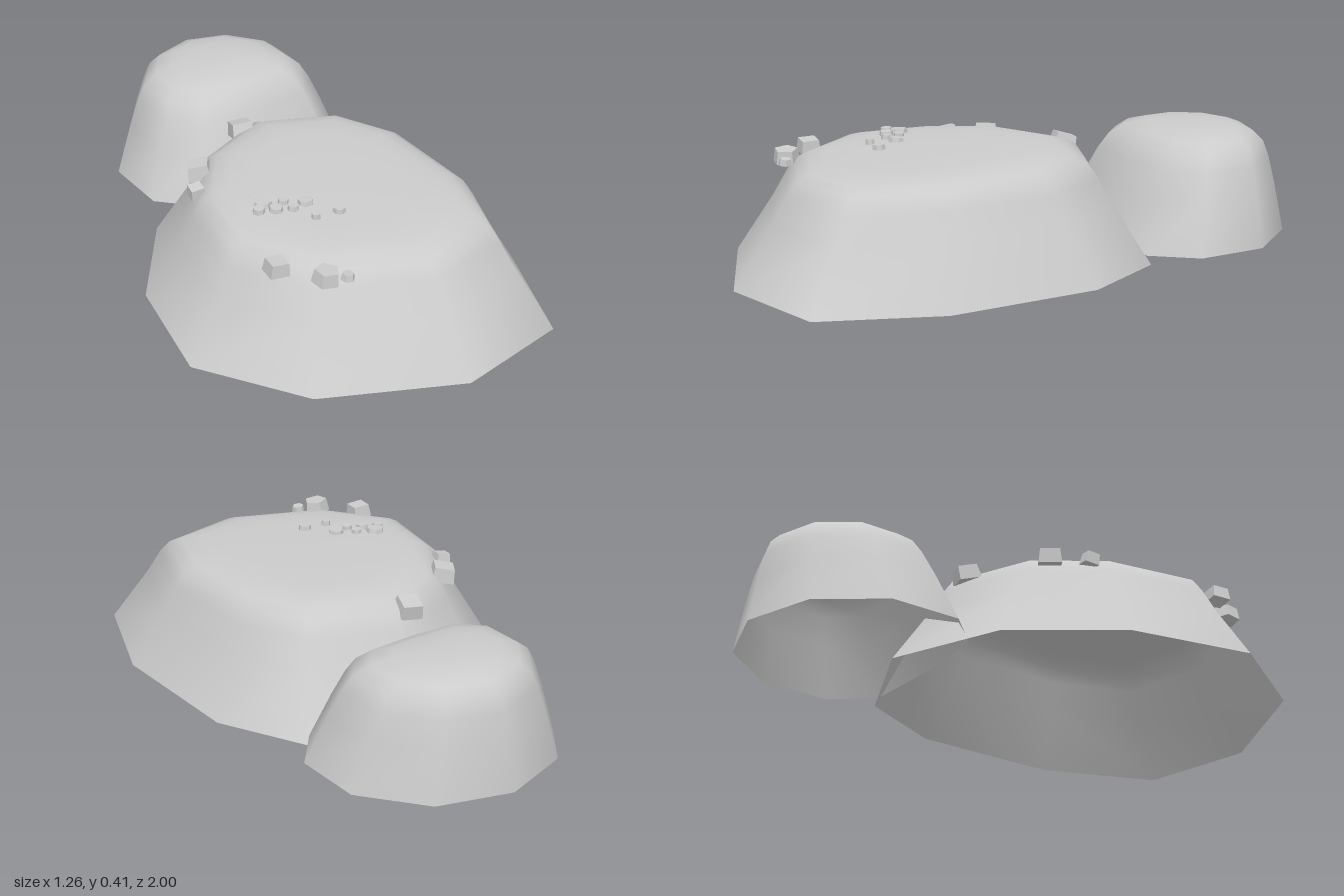
import * as THREE from 'three';

const material = new THREE.MeshStandardMaterial({ color: 0xcccccc, side: THREE.DoubleSide });

// Open-bottomed mound: an outline shrunk ring by ring towards a moving centre.
// Each ring is [y, scale]; outline runs counter-clockwise seen from above.
function mound(name, outline, from, to, rings, tilt) {
  const positions = [], index = [], n = outline.length;
  const y0 = rings[0][0], top = rings[rings.length - 1][0];
  for (const [y, s] of rings) {
    const t = (y - y0) / (top - y0);
    const cx = from[0] + (to[0] - from[0]) * t;
    const cz = from[1] + (to[1] - from[1]) * t;
    for (const [x, z] of outline) {
      const dz = (z - from[1]) * s;
      positions.push(cx + (x - from[0]) * s, y - tilt * dz * t ** 6, cz + dz);
    }
  }
  for (let r = 0; r < rings.length - 1; r++) {
    for (let i = 0; i < n; i++) {
      const j = (i + 1) % n;
      const a = r * n + i, b = r * n + j, c = a + n, d = b + n;
      index.push(a, b, d, a, d, c);
    }
  }
  // crown
  const apex = positions.length / 3;
  positions.push(to[0], top + 0.002, to[1]);
  for (let i = 0; i < n; i++) index.push(apex - n + i, apex - n + (i + 1) % n, apex);
  const geometry = new THREE.BufferGeometry();
  geometry.setAttribute('position', new THREE.Float32BufferAttribute(positions, 3));
  geometry.setIndex(index);
  geometry.computeVertexNormals();
  const mesh = new THREE.Mesh(geometry, material);
  mesh.name = name;
  return mesh;
}

// Small chipped stone: a tapered, few-sided block
function stone(name, [x, y, z, width, height, sides, turn, tiltX, tiltZ]) {
  const geometry = new THREE.CylinderGeometry(width * 0.48, width * 0.56, height, sides).toNonIndexed();
  geometry.computeVertexNormals();
  const mesh = new THREE.Mesh(geometry, material);
  mesh.name = name;
  mesh.position.set(x, y, z);
  mesh.rotation.set(tiltX, turn, tiltZ);
  return mesh;
}

export function createModel() {
  const model = new THREE.Group();
  model.name = 'rockMounds';

  // Large front mound
  const largeOutline = [
    [-0.63, 0.43], [-0.40, 0.79], [0.06, 1.0], [0.47, 0.92], [0.63, 0.52],
    [0.63, -0.02], [0.48, -0.33], [0.10, -0.50], [-0.29, -0.34], [-0.54, 0.0],
  ];
  model.add(mound('largeMound', largeOutline, [0, 0.24], [0.02, 0.24], [
    [0, 1], [0.2, 0.815], [0.29, 0.745], [0.338, 0.695], [0.36, 0.635],
    [0.376, 0.55], [0.382, 0.42], [0.385, 0.22],
  ], 0.025));

  // Small back mound, steeper at the rear
  const smallOutline = [
    [-0.23, -0.71], [-0.23, -0.46], [-0.10, -0.33], [0.18, -0.31], [0.47, -0.32],
    [0.59, -0.46], [0.59, -0.71], [0.43, -0.92], [0.18, -1.0], [-0.07, -0.92],
  ];
  model.add(mound('smallMound', smallOutline, [0.18, -0.655], [0.19, -0.70], [
    [0.03, 1], [0.2, 0.85], [0.29, 0.76], [0.34, 0.69], [0.375, 0.58],
    [0.395, 0.42], [0.403, 0.22],
  ], 0));

  // Loose rocks round the rim: x, y, z, width, height, sides, turn, tiltX, tiltZ
  const rocks = new THREE.Group();
  rocks.name = 'rimRocks';
  [
    [-0.365, 0.342, 0.53, 0.085, 0.045, 4, 0.65, 0.1, -0.1],
    [-0.265, 0.342, 0.66, 0.085, 0.045, 5, 0.4, 0.1, -0.1],
    [-0.205, 0.335, 0.69, 0.042, 0.022, 6, 0.2, 0, -0.1],
    [-0.25, 0.345, -0.11, 0.10, 0.05, 4, 0.2, -0.15, 0.15],
    [-0.33, 0.34, 0.0, 0.065, 0.04, 4, 0.6, 0, 0.2],
    [0.02, 0.345, -0.265, 0.10, 0.05, 4, 0.5, -0.3, 0],
  ].forEach((r) => rocks.add(stone('rimRock', r)));
  model.add(rocks);

  // Scatter of flat pebbles on the crown: x, z, width
  const pebbles = new THREE.Group();
  pebbles.name = 'crownPebbles';
  [
    [-0.23, 0.25, 0.06], [-0.265, 0.28, 0.04], [-0.215, 0.305, 0.045], [-0.17, 0.28, 0.035],
    [-0.165, 0.33, 0.035], [-0.11, 0.32, 0.05], [-0.13, 0.41, 0.03], [-0.045, 0.42, 0.042],
  ].forEach(([x, z, w], i) => {
    pebbles.add(stone('pebble', [x, 0.386, z, w, 0.02, 7, i, 0, 0.05]));
  });
  model.add(pebbles);

  return model;
}
